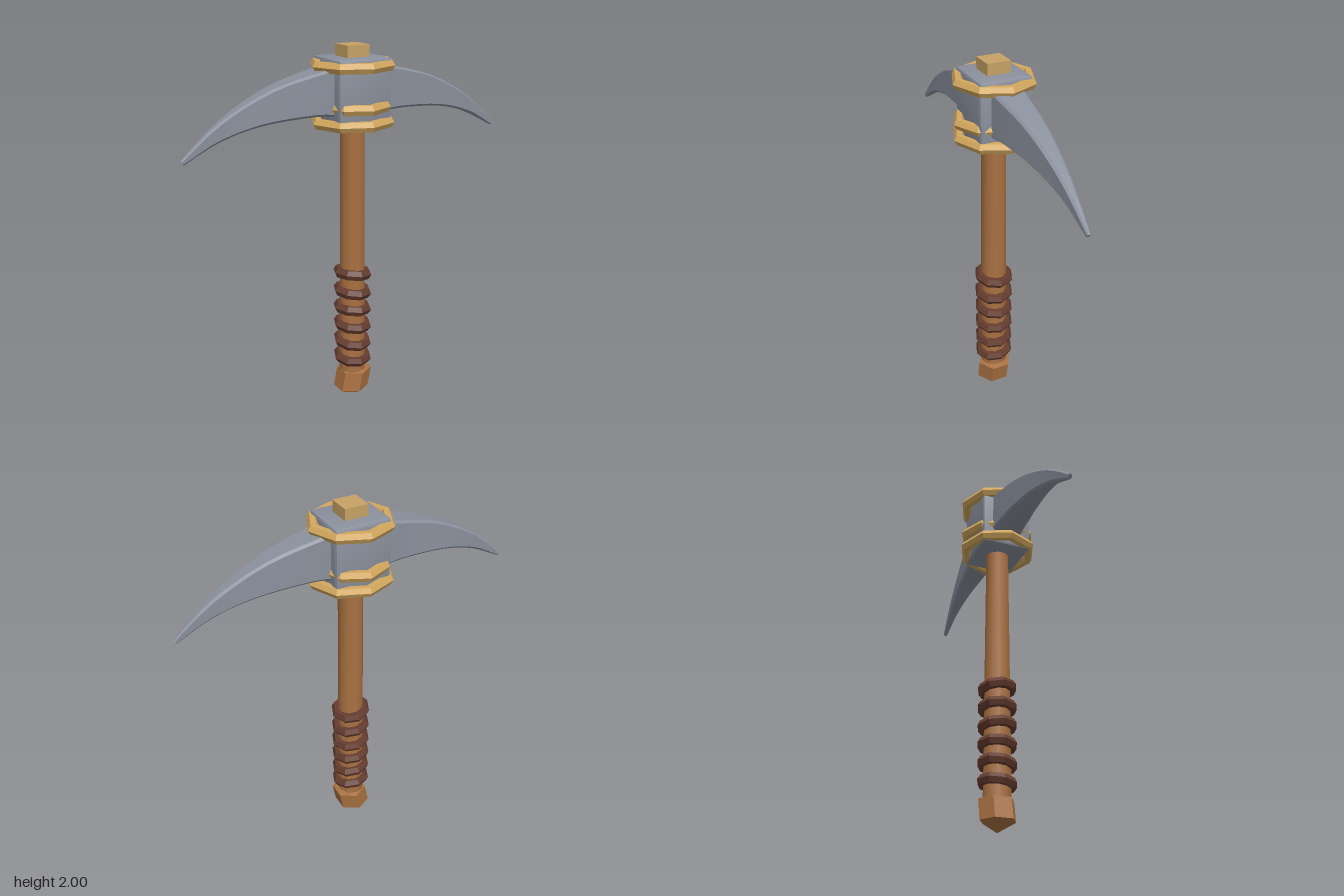
import * as THREE from 'three';
import { toCreasedNormals } from 'three/addons/utils/BufferGeometryUtils.js';
import { RoundedBoxGeometry } from 'three/addons/geometries/RoundedBoxGeometry.js';

function paint(name, color) {
  const m = new THREE.MeshStandardMaterial({ color });
  m.name = name;
  return m;
}

// Smooth curve through [x, value] points, sampled n + 1 times
function sample(points, n) {
  return new THREE.SplineCurve(points.map(p => new THREE.Vector2(...p))).getPoints(n);
}

// Curved, tapering double pick lofted from chamfered rectangles along x
function bladeGeometry() {
  const n = 16;
  const topEdge = sample([[0.1, 1.9], [0.2, 1.885], [0.465, 1.815], [0.73, 1.68], [0.93, 1.512]], n);
  const lowEdge = sample([[0.1, 1.65], [0.25, 1.665], [0.52, 1.645], [0.73, 1.587], [0.915, 1.493]], n);
  const half = topEdge.map((t, i) => ({ t, b: lowEdge[i], w: 0.097 - 0.094 * t.x }));
  const mirrored = half.map(s => ({
    t: new THREE.Vector2(-s.t.x, s.t.y), b: new THREE.Vector2(-s.b.x, s.b.y), w: s.w,
  })).reverse();
  const sections = [...mirrored, ...half];

  const pos = [], index = [];
  for (const { t, b, w } of sections) {
    const c = Math.min(0.012, w * 0.5, (t.y - b.y) * 0.3);
    const k = c / (t.y - b.y);
    const ring = [[0, w - c], [k, w], [1 - k, w], [1, w - c], [1, c - w], [1 - k, -w], [k, -w], [0, c - w]];
    for (const [f, z] of ring) pos.push(t.x + (b.x - t.x) * f, t.y + (b.y - t.y) * f, z);
  }
  const last = (sections.length - 1) * 8;
  for (let i = 0; i < sections.length - 1; i++) {
    for (let j = 0; j < 8; j++) {
      const a = i * 8 + j, b = i * 8 + (j + 1) % 8;
      index.push(a, b, a + 8, b, b + 8, a + 8);
    }
  }
  for (let j = 1; j < 7; j++) index.push(0, j + 1, j, last, last + j, last + j + 1);
  const g = new THREE.BufferGeometry();
  g.setAttribute('position', new THREE.Float32BufferAttribute(pos, 3));
  g.setIndex(index);
  return toCreasedNormals(g, 0.5);
}

// Faceted ring lying flat
function ringGeometry(radius, tube) {
  return toCreasedNormals(new THREE.TorusGeometry(radius, tube, 6, 8).rotateX(Math.PI / 2), 0.3);
}

export function createModel() {
  const model = new THREE.Group();
  const metal = paint('steel grey', 0x8a909d);
  const gold = paint('brass', 0xd3a85f);
  const pegWood = paint('pale wood', 0xc6a266);
  const wood = paint('handle wood', 0xa97142);
  const leather = paint('dark leather', 0x653c2f);

  function add(name, geometry, material, x = 0, y = 0, z = 0) {
    const mesh = new THREE.Mesh(geometry, material);
    mesh.name = name;
    mesh.position.set(x, y, z);
    model.add(mesh);
    return mesh;
  }

  // Handle, slightly thicker at the grip
  const shaft = new THREE.CylinderGeometry(0.064, 0.075, 1.46, 10);
  add('handle', toCreasedNormals(shaft, 0.8), wood, 0, 0.89);

  // Six-sided pommel with a pointed end, leaning a little
  const profile = [[0, 0.005], [0.097, 0.062], [0.097, 0.172], [0.06, 0.186], [0, 0.186]];
  const pommel = new THREE.LatheGeometry(profile.map(p => new THREE.Vector2(...p)), 6);
  const p = pommel.attributes.position;
  for (let i = 0; i < p.count; i++) {
    if (p.getY(i) > 0.03) p.setX(i, p.getX(i) + (p.getY(i) - 0.115) * 0.2);
  }
  add('pommel', toCreasedNormals(pommel, 0.6), wood);

  // Leather wraps: height, tilt about x, tilt about z
  const wraps = [
    [0.765, -0.06, -0.15], [0.658, 0.03, -0.14], [0.556, -0.03, -0.12],
    [0.455, 0.06, -0.1], [0.353, 0.12, -0.1], [0.255, 0.13, -0.04],
  ];
  const wrap = ringGeometry(0.079, 0.03);
  wraps.forEach(([y, rx, rz], i) => {
    add('gripWrap' + (i + 1), wrap, leather, 0, y).rotation.set(rx, 0, rz);
  });

  // Head: chamfered block, double blade and wedge peg
  const block = new RoundedBoxGeometry(0.3, 0.36, 0.28, 1, 0.016);
  add('headBlock', toCreasedNormals(block, 0.4), metal, 0, 1.76);
  add('blade', bladeGeometry(), metal);
  add('wedgePeg', new THREE.BoxGeometry(0.126, 0.12, 0.126), pegWood, 0, 1.94);

  // Brass bands: height and width factor in x
  const band = ringGeometry(0.187, 0.029);
  for (const [name, y, sx] of [['topBand', 1.9, 1.05], ['middleBand', 1.695, 0.9], ['bottomBand', 1.612, 1.05]]) {
    add(name, band, gold, 0, y).scale.x = sx;
  }
  return model;
}
